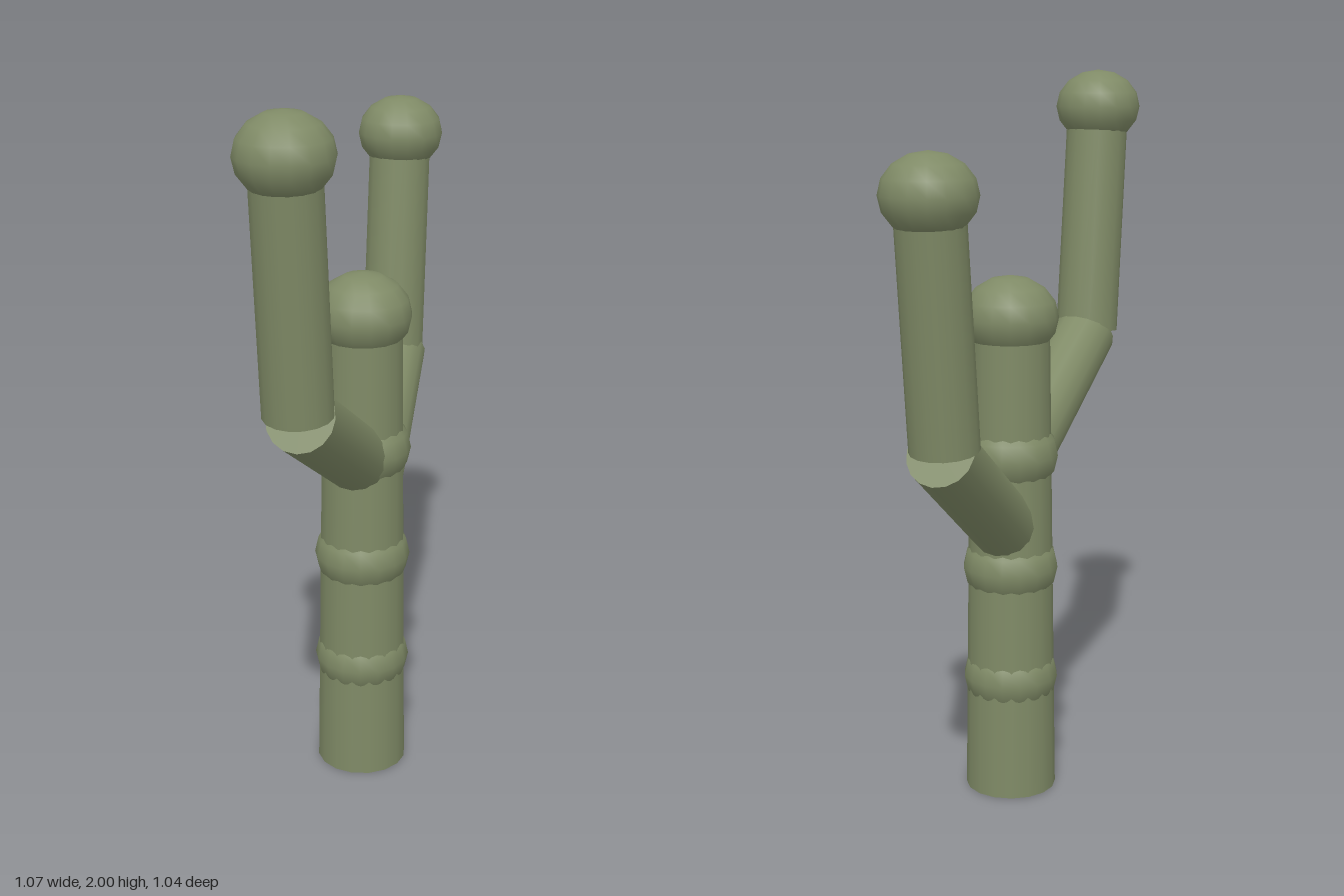
import * as THREE from 'three';

const cactusGreen = new THREE.MeshStandardMaterial({ color: 0x7f8a66 });
cactusGreen.name = 'cactusGreen';

const v = (x, y, z) => new THREE.Vector3(x, y, z);

function add(group, name, geometry) {
  const mesh = new THREE.Mesh(geometry, cactusGreen);
  mesh.name = name;
  group.add(mesh);
  return mesh;
}

// Closed cylinder running between two points
function limb(group, name, from, to, r0, r1) {
  const dir = to.clone().sub(from);
  const mesh = add(group, name, new THREE.CylinderGeometry(r1, r0, dir.length(), 16));
  mesh.position.copy(from).lerp(to, 0.5);
  mesh.quaternion.setFromUnitVectors(v(0, 1, 0), dir.normalize());
  return mesh;
}

// Slightly flattened ball, used for the caps and the swollen rings
function knob(group, name, centre, r, ry, turn = 0) {
  const mesh = add(group, name, new THREE.SphereGeometry(r, 16, 8));
  mesh.scale.y = ry / r;
  mesh.rotation.y = turn;
  mesh.position.copy(centre);
  return mesh;
}

export function createModel() {
  const model = new THREE.Group();
  model.name = 'cactus';
  const cx = 0.025, cz = 0.027;

  // Trunk with its rounded cap and three rings
  limb(model, 'trunk', v(cx, 0, cz), v(cx, 1.35, cz), 0.127, 0.108);
  knob(model, 'trunkCap', v(cx, 1.35, cz), 0.133, 0.115);
  [0.33, 0.65, 0.97].forEach((y, i) =>
    knob(model, 'trunkRing' + (i + 1), v(cx, y, cz), 0.133, 0.115, Math.PI / 16));

  // Two bent arms: a sloping branch, a near-upright stem and a cap
  const arms = [
    { name: 'rightArm', root: 0.92, end: v(-0.357, 1.235, 0.352), foot: v(-0.365, 1.245, 0.356), tip: v(-0.415, 1.895, 0.395) },
    { name: 'leftArm', root: 0.74, end: v(0.375, 1.085, -0.35), foot: v(0.362, 1.09, -0.345), tip: v(0.415, 1.723, -0.396) },
  ];
  for (const { name, root, end, foot, tip } of arms) {
    const arm = new THREE.Group();
    arm.name = name;
    limb(arm, name + 'Branch', v(cx, root, cz), end, 0.092, 0.09);
    limb(arm, name + 'Stem', foot, tip, 0.09, 0.088);
    knob(arm, name + 'Cap', tip, 0.122, 0.105);
    model.add(arm);
  }
  return model;
}
